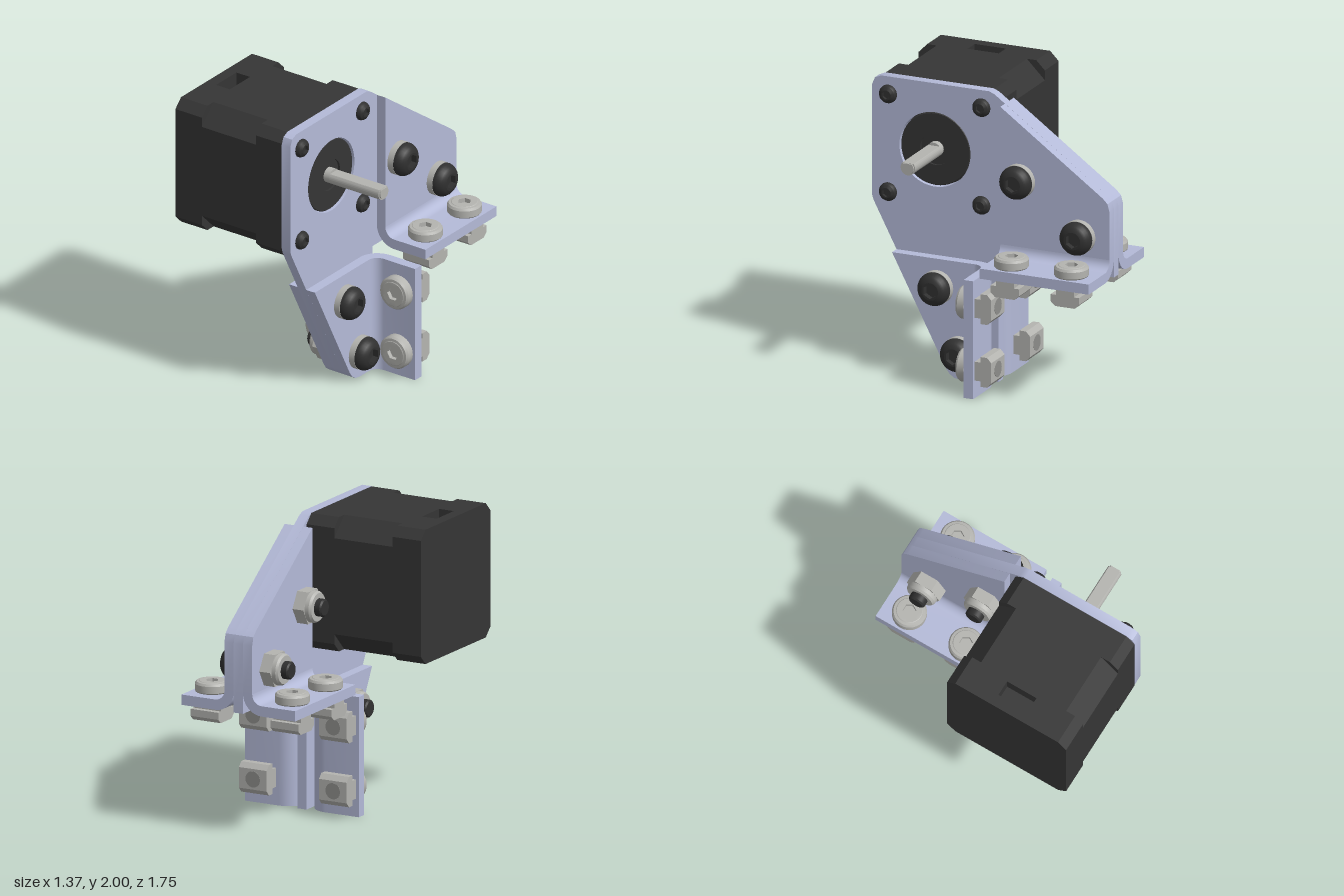
import * as THREE from 'three';
import { toCreasedNormals } from 'three/addons/utils/BufferGeometryUtils.js';

const paint = (name, color) => {
  const m = new THREE.MeshStandardMaterial({ color });
  m.name = name;
  return m;
};

export function createModel() {
  const model = new THREE.Group();
  model.name = 'motorMount';
  const plateMat = paint('lavender sheet metal', 0xb4bad8);
  const motorMat = paint('motor black', 0x353535);
  const boltMat = paint('bolt black', 0x303030);
  const steelMat = paint('light steel', 0xb4b4b0);
  const boreMat = paint('shaded steel', 0x8e8e8b);

  const add = (name, geo, mat, parent = model) => {
    const m = new THREE.Mesh(geo, mat);
    m.name = name;
    parent.add(m);
    return m;
  };
  const shapeOf = (pts) => new THREE.Shape(pts.map(([a, b]) => new THREE.Vector2(a, b)));
  const extrude = (shape, depth) =>
    toCreasedNormals(new THREE.ExtrudeGeometry(shape, { depth, bevelEnabled: false, curveSegments: 32 }), 0.5);
  // Extrude a (z, y) outline along x
  const slab = (shape, x0, x1) => extrude(shape, x1 - x0).rotateY(-Math.PI / 2).translate(x1, 0, 0);
  const lathe = (pts, seg = 32) =>
    toCreasedNormals(new THREE.LatheGeometry(pts.map(([r, y]) => new THREE.Vector2(r, y)), seg), 0.5);
  const hexPath = (r) => {
    const p = new THREE.Path();
    for (let i = 0; i < 6; i++) {
      const a = (-i * Math.PI) / 3;
      p[i ? 'lineTo' : 'moveTo'](r * Math.cos(a), r * Math.sin(a));
    }
    p.closePath();
    return p;
  };
  // Group whose local +y points along dir
  const placed = (name, pos, dir) => {
    const g = new THREE.Group();
    g.name = name;
    g.position.set(...pos);
    g.quaternion.setFromUnitVectors(new THREE.Vector3(0, 1, 0), new THREE.Vector3(...dir));
    model.add(g);
    return g;
  };

  // Main plate with the pilot hole
  const CZ = 0.42, CY = 1.543, MID = 0.215;
  const plate = shapeOf([
    [-0.04, 0], [0.2, 0], [0.25, 0.01], [0.285, 0.035], [0.31, 0.07],
    [0.865, 1.135], [0.875, 1.17], [0.875, 1.93], [0.855, 1.98], [0.81, 2],
    [0.03, 2], [-0.01, 1.985], [-0.825, 1.4], [-0.86, 1.365], [-0.875, 1.31],
    [-0.875, 0.84], [-0.04, 0.84],
  ]);
  const pilotHole = new THREE.Path();
  pilotHole.absarc(CZ, CY, 0.257, 0, Math.PI * 2, true);
  plate.holes.push(pilotHole);
  add('mainPlate', slab(plate, 0.18, 0.25), plateMat);

  // Bent angle brackets, one pair under the rear wing and one pair at the lower front
  const bend = (s, flip) => {
    const p = [];
    for (let i = 0; i <= 8; i++) {
      const a = Math.PI + (i / 8) * (Math.PI / 2);
      p.push([0.175 + 0.14 * Math.cos(a), 0.14 + 0.14 * Math.sin(a)]);
    }
    p.push([0.43, 0], [0.43, 0.07]);
    for (let i = 8; i >= 0; i--) {
      const a = Math.PI + (i / 8) * (Math.PI / 2);
      p.push([0.175 + 0.07 * Math.cos(a), 0.14 + 0.07 * Math.sin(a)]);
    }
    return shapeOf(p.map(([a, b]) => [MID + s * a, flip * b]));
  };
  const rearPanel = [[-0.085, 0.98], [-0.085, 1.93], [-0.825, 1.4], [-0.86, 1.365], [-0.875, 1.31], [-0.875, 0.98]];
  const frontPanel = [[0.1, 0], [0.2, 0], [0.25, 0.01], [0.285, 0.035], [0.31, 0.07], [0.698, 0.815], [0.1, 0.815]];
  for (const s of [1, -1]) {
    const side = s > 0 ? 'left' : 'right';
    const x0 = s > 0 ? 0.25 : 0.11;
    add(side + 'RearBracketPanel', slab(shapeOf(rearPanel), x0, x0 + 0.07), plateMat);
    add(side + 'RearBracketFlange', extrude(bend(s, 1), 0.79).translate(0, 0.84, -0.875), plateMat);
    add(side + 'FrontBracketPanel', slab(shapeOf(frontPanel), x0, x0 + 0.07), plateMat);
    add(side + 'FrontBracketFlange', extrude(bend(s, -1), 0.815).rotateX(-Math.PI / 2).translate(0, 0, -0.04), plateMat);
  }

  // Motor body: chamfered slices, with a connector pocket in the rear cap
  const slice = (c, pocket) => {
    const [z0, z1, y0, y1] = [-0.04, 0.873, 1.087, 1.998];
    const pts = [[z0 + c, y0], [z1 - c, y0], [z1, y0 + c], [z1, y1 - c], [z1 - c, y1]];
    if (pocket) pts.push([0.53, y1], [0.53, y1 - 0.1], [0.305, y1 - 0.1], [0.305, y1]);
    pts.push([z0 + c, y1], [z0, y1 - c], [z0, y0 + c]);
    return shapeOf(pts);
  };
  [[-0.685, -0.605, 0.062], [-0.605, -0.495, 0.062, true], [-0.495, -0.47, 0.062],
    [-0.47, -0.03, 0.13], [-0.03, 0.18, 0.062]].forEach(([a, b, c, pocket], i) =>
    add('motorBody' + (i + 1), slab(slice(c, pocket), a, b), motorMat));

  // Pilot boss and D-shaped shaft
  const boss = placed('pilotBoss', [0.18, CY, CZ], [1, 0, 0]);
  add('bossRing', lathe([[0.25, 0], [0.25, 0.055], [0.245, 0.06], [0.11, 0.06], [0.11, 0.045], [0, 0.045]], 48), motorMat, boss);
  const dShape = new THREE.Shape();
  const cut = Math.asin(0.032 / 0.052);
  dShape.absarc(CZ, CY, 0.052, Math.PI - cut, Math.PI * 2 + cut, false);
  add('shaftFlatted', slab(dShape, 0.27, 0.672), steelMat);
  const tip = new THREE.Shape();
  tip.absarc(CZ, CY, 0.044, Math.PI - 0.75, Math.PI * 2 + 0.75, false);
  add('shaftTip', slab(tip, 0.672, 0.682), steelMat);
  add('shaftBase', lathe([[0.052, 0], [0.052, 0.09], [0, 0.09]]).rotateZ(-Math.PI / 2).translate(0.18, CY, CZ), steelMat);

  // Bolt head with a real hex socket; the profile ends at the rim of the flat top
  const socketHead = (g, name, profile, hexR, depth, mat) => {
    const [rim, top] = profile[profile.length - 1];
    add(name, lathe(profile), mat, g);
    const face = new THREE.Shape();
    face.absarc(0, 0, rim, 0, Math.PI * 2, false);
    face.holes.push(hexPath(hexR));
    add(name + 'Socket', extrude(face, depth).rotateX(-Math.PI / 2).translate(0, top - depth, 0), mat, g);
    add(name + 'SocketFloor', new THREE.CircleGeometry(rim, 24).rotateX(-Math.PI / 2).translate(0, top - depth, 0), mat, g);
  };

  // Four motor screws
  for (const z of [-0.3375, 0.3375]) for (const y of [-0.3375, 0.3375]) {
    const g = placed('motorScrew', [0.25, CY + y, CZ + z], [1, 0, 0]);
    socketHead(g, 'screwHead', [[0.063, 0], [0.062, 0.012], [0.054, 0.028], [0.035, 0.041]], 0.027, 0.02, boltMat);
  }

  // Through bolts with washers and lock nuts
  for (const [z, y] of [[-0.222, 1.44], [-0.658, 1.115], [0.37, 0.622], [0.207, 0.188]]) {
    const g = placed('throughBolt', [0.32, y, z], [1, 0, 0]);
    add('washer', lathe([[0.115, 0], [0.115, 0.045], [0.05, 0.045]]), steelMat, g);
    socketHead(g, 'boltHead',
      [[0.113, 0.045], [0.114, 0.06], [0.108, 0.08], [0.095, 0.1], [0.08, 0.113], [0.06, 0.12]], 0.05, 0.04, boltMat);
    const n = placed('lockNut', [0.11, y, z], [-1, 0, 0]);
    add('nutHex', toCreasedNormals(new THREE.CylinderGeometry(0.125, 0.125, 0.082, 6).translate(0, 0.041, 0), 0.3), steelMat, n);
    add('nutCollar', lathe([[0.108, 0.08], [0.106, 0.11], [0.095, 0.125], [0.05, 0.125]]), steelMat, n);
    add('boltEnd', lathe([[0.06, 0.1], [0.06, 0.165], [0.05, 0.175], [0, 0.175]]), boltMat, n);
  }

  // Flange bolts with slot nuts on the far side of each flange
  const slotNut = shapeOf([
    [-0.065, 0.005], [-0.065, -0.042], [-0.103, -0.042], [-0.103, -0.09], [-0.07, -0.12],
    [0.07, -0.12], [0.103, -0.09], [0.103, -0.042], [0.065, -0.042], [0.065, 0.005],
  ]);
  const flangeBolt = (pos, dir) => {
    const g = placed('flangeBolt', pos, dir);
    socketHead(g, 'flangeBoltHead',
      [[0.108, 0], [0.115, 0.008], [0.115, 0.055], [0.105, 0.07], [0.088, 0.072], [0.084, 0.075], [0.06, 0.075]],
      0.045, 0.03, steelMat);
    add('slotNut', extrude(slotNut, 0.21).rotateY(-Math.PI / 2).translate(0.105, -0.07, 0), steelMat, g);
    add('slotNutBore', new THREE.CylinderGeometry(0.055, 0.055, 0.004, 24).translate(0, -0.19, 0), boreMat, g);
  };
  for (const x of [MID - 0.303, MID + 0.303]) {
    for (const z of [-0.258, -0.692]) flangeBolt([x, 0.91, z], [0, 1, 0]);
    for (const y of [0.622, 0.188]) flangeBolt([x, y, 0.03], [0, 0, 1]);
  }
  return model;
}
